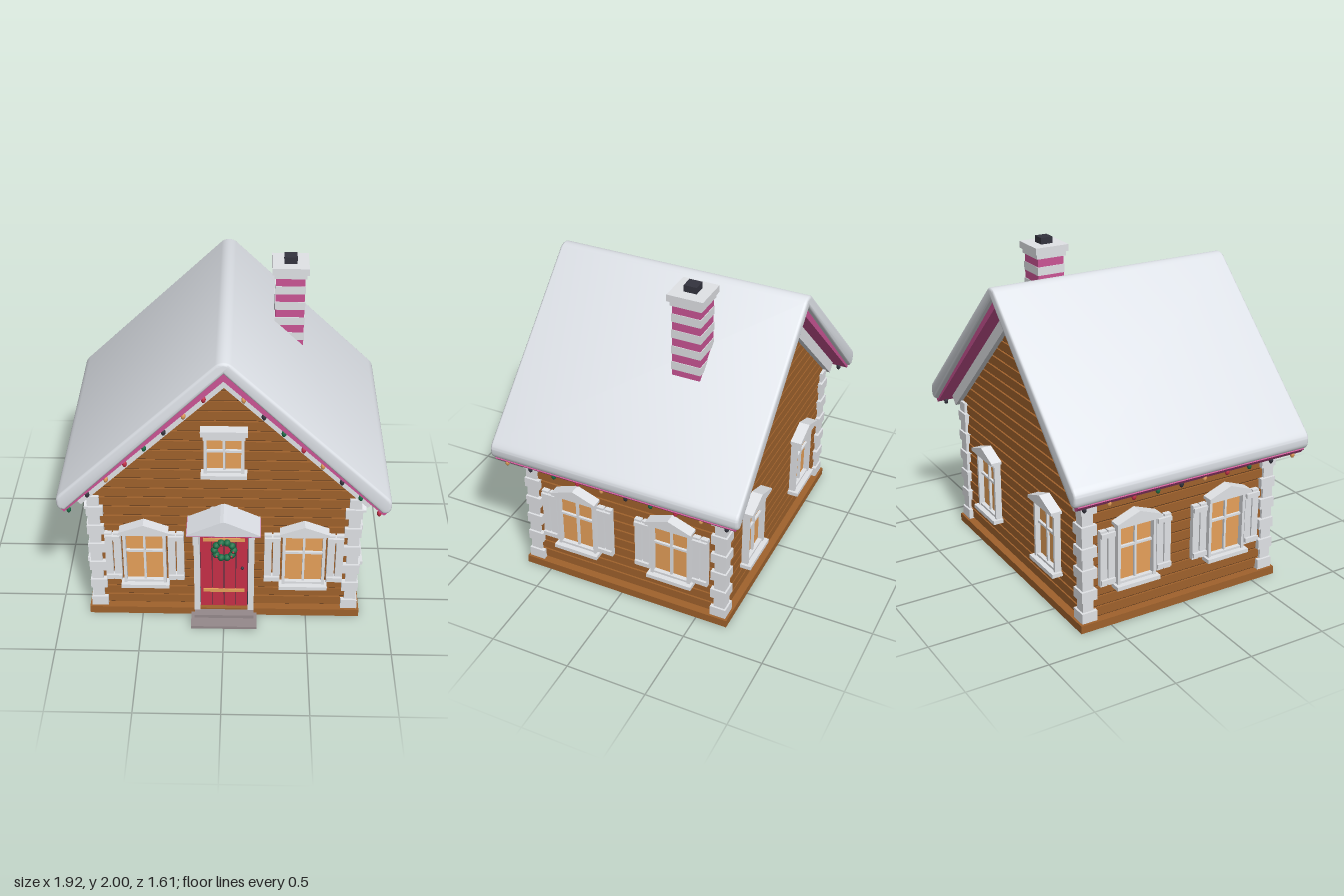
import * as THREE from 'three';
import { toCreasedNormals } from 'three/addons/utils/BufferGeometryUtils.js';

const mat = (name, color) => {
  const m = new THREE.MeshStandardMaterial({ color });
  m.name = name;
  return m;
};
const M = {
  wood: mat('brown wood', 0xa0622c),
  groove: mat('dark groove', 0x4a2e18),
  trim: mat('white trim', 0xe2e4e8),
  snow: mat('snow', 0xe4e8ee),
  pink: mat('magenta', 0xcc5596),
  red: mat('door red', 0xc83048),
  amber: mat('amber', 0xeca45c),
  dark: mat('charcoal', 0x34343f),
  green: mat('leaf green', 0x1c7048),
  stone: mat('step stone', 0x968a8c),
};
const SLOPE = 0.965, ZC = -0.016, HX = 0.785, HZ = 0.641;

function add(parent, name, geo, material, x = 0, y = 0, z = 0) {
  const m = new THREE.Mesh(geo, material);
  m.name = name;
  m.position.set(x, y, z);
  parent.add(m);
  return m;
}
// Box given by its min and max on each axis
function box(parent, name, material, x0, x1, y0, y1, z0, z1) {
  return add(parent, name, new THREE.BoxGeometry(x1 - x0, y1 - y0, z1 - z0), material,
    (x0 + x1) / 2, (y0 + y1) / 2, (z0 + z1) / 2);
}
// Straight extrusion of an outline along z
function prism(parent, name, material, points, z0, z1) {
  const shape = new THREE.Shape(points.map(p => new THREE.Vector2(p[0], p[1])));
  const geo = new THREE.ExtrudeGeometry(shape, { depth: z1 - z0, bevelEnabled: false });
  return add(parent, name, geo, material, 0, 0, z0);
}
// Inverted V following the roof pitch, with square-cut ends
function chevron(parent, name, material, top, thick, xe, z0, z1) {
  const k = thick / (1 + SLOPE * SLOPE), ye = top - SLOPE * xe;
  prism(parent, name, material, [[0, top], [-xe, ye], [-xe + k * SLOPE, ye - k], [0, top - thick],
    [xe - k * SLOPE, ye - k], [xe, ye]], z0, z1);
}

// Window facing +z, standing on the wall plane z = 0
function makeWindow(name, { hw = 0.11, y0 = 0.25, y1 = 0.61, bar = 0.477, gable = true, shutters = false }) {
  const g = new THREE.Group();
  g.name = name;
  const f = 0.018;
  box(g, 'glass', M.amber, -hw, hw, y0, y1, 0, 0.008);
  box(g, 'verticalBar', M.trim, -0.007, 0.007, y0, y1, 0.005, 0.024);
  box(g, 'crossBar', M.trim, -hw, hw, bar - 0.007, bar + 0.007, 0.005, 0.024);
  for (const s of [-1, 1]) {
    box(g, 'jamb', M.trim, s * (hw + f / 2) - f / 2, s * (hw + f / 2) + f / 2, y0, y1, 0, 0.042);
    if (!shutters) continue;
    const shutter = new THREE.Group();
    shutter.name = 'shutter';
    shutter.position.x = s * 0.188;
    g.add(shutter);
    for (const t of [-1, 1])
      box(shutter, 'slat', M.trim, t * 0.026 - 0.022, t * 0.026 + 0.022, 0.26, 0.612, 0, 0.03);
    for (const y of [0.29, 0.585])
      box(shutter, 'batten', M.trim, -0.046, 0.046, y - 0.014, y + 0.014, 0, 0.045);
  }
  box(g, 'sill', M.trim, -hw - 0.035, hw + 0.035, y0 - 0.025, y0, 0, 0.068);
  box(g, 'bottomRail', M.trim, -hw, hw, y0, y0 + 0.014, 0, 0.035);
  box(g, 'head', M.trim, -hw - 0.022, hw + 0.022, y1, y1 + 0.03, 0, 0.05);
  const w = hw + 0.036, b = y1 + 0.02;
  if (gable) prism(g, 'pediment', M.trim, [[-w, b], [w, b], [w, b + 0.018], [0, b + 0.073], [-w, b + 0.018]], 0, 0.07);
  else box(g, 'cap', M.trim, -w, w, b + 0.01, b + 0.045, 0, 0.065);
  return g;
}

export function createModel() {
  const house = new THREE.Group();
  house.name = 'house';
  const zF = ZC + HZ, zB = ZC - HZ;

  // Walls: dark core showing between stacked boards
  box(house, 'base', M.wood, -0.825, 0.825, 0, 0.05, zB - 0.04, zF + 0.04);
  const cx = HX - 0.012;
  prism(house, 'wallCore', M.groove, [[-cx, 0.04], [cx, 0.04], [cx, 1.72 - SLOPE * cx], [0, 1.72],
    [-cx, 1.72 - SLOPE * cx]], zB + 0.012, zF - 0.012);
  const pitch = 0.067;
  for (let y = 0.05; y < 1.62; y += pitch) {
    const hw = Math.min(HX, (1.725 - y - pitch) / SLOPE);
    box(house, 'wallBoard', M.wood, -hw, hw, y + 0.011, y + pitch, zB, zF);
  }

  // Corner blocks, alternating long and short
  for (const sx of [-1, 1]) for (const sz of [-1, 1]) for (let i = 0; i < 12; i++) {
    const out = i % 2 ? 0.018 : 0.027, w = i % 2 ? 0.07 : 0.1, h = 0.0685;
    add(house, 'cornerBlock', new THREE.BoxGeometry(w, h - 0.004, w), M.trim,
      sx * (HX + out - w / 2), 0.05 + h * (i + 0.5), ZC + sz * (HZ + out - w / 2));
  }

  // Roof: gable trim, deck and rounded snow layer
  chevron(house, 'frontGableTrim', M.trim, 1.735, 0.1, 0.885, zF - 0.01, zF + 0.035);
  chevron(house, 'backGableTrim', M.trim, 1.735, 0.1, 0.885, zB - 0.035, zB + 0.01);
  chevron(house, 'roofDeck', M.pink, 1.79, 0.06, 0.95, -0.78, 0.75);
  const s = new THREE.Shape();
  s.moveTo(0, 1.785);
  s.lineTo(0.91, 0.872);
  s.quadraticCurveTo(0.955, 0.865, 0.96, 0.91);
  s.lineTo(0.96, 0.935);
  s.quadraticCurveTo(0.962, 0.955, 0.93, 0.985);
  s.lineTo(0.045, 1.838);
  s.quadraticCurveTo(0, 1.87, -0.045, 1.838);
  s.lineTo(-0.93, 0.985);
  s.quadraticCurveTo(-0.962, 0.955, -0.96, 0.935);
  s.lineTo(-0.96, 0.91);
  s.quadraticCurveTo(-0.955, 0.865, -0.91, 0.872);
  s.closePath();
  const b = 0.016;
  const snow = new THREE.ExtrudeGeometry(s, { depth: 1.58 - 2 * b, bevelEnabled: true, bevelSize: b,
    bevelThickness: b, bevelOffset: -b, bevelSegments: 3, curveSegments: 6 });
  add(house, 'snowRoof', toCreasedNormals(snow, 0.6), M.snow, 0, 0, -0.805 + b);

  // Light bulbs along the front rakes and the eaves
  const bulbGeo = new THREE.SphereGeometry(0.014, 8, 6).scale(1, 1.5, 1);
  const bulbMats = [M.amber, M.dark, M.green, M.red];
  for (const sx of [-1, 1]) {
    for (let i = 0; i < 8; i++) {
      const x = 0.11 + i * 0.112;
      add(house, 'rakeBulb', bulbGeo, bulbMats[(i + (sx > 0 ? 0 : 3)) % 4], sx * x, 1.715 - SLOPE * x, 0.74);
    }
    for (let i = 0; i < 10; i++)
      add(house, 'eaveBulb', bulbGeo, bulbMats[i % 4], sx * 0.915, 0.838, 0.69 - i * 0.157);
  }

  // Chimney with striped stack
  const chimney = new THREE.Group();
  chimney.name = 'chimney';
  chimney.position.set(0.377, 0, -0.26);
  house.add(chimney);
  const block = (name, m, w, y0, y1) => box(chimney, name, m, -w / 2, w / 2, y0, y1, -w / 2, w / 2);
  block('stack', M.pink, 0.174, 1.3, 1.89);
  for (let i = 0; i < 5; i++) block('stripe', M.trim, 0.182, 1.784 - i * 0.1035, 1.836 - i * 0.1035);
  block('lowerCap', M.trim, 0.195, 1.888, 1.92);
  block('upperCap', M.trim, 0.22, 1.918, 1.96);
  block('flue', M.dark, 0.078, 1.95, 2);

  // Windows on all four walls
  const place = (g, x, z, ry) => {
    g.position.set(x, 0, z);
    g.rotation.y = ry;
    house.add(g);
  };
  for (const k of [-1, 1]) {
    place(makeWindow('frontWindow', { shutters: true }), k * 0.476, zF, 0);
    place(makeWindow('backWindow', {}), k * 0.39, zB, Math.PI);
    for (const sx of [-1, 1])
      place(makeWindow('sideWindow', { shutters: true }), sx * HX, ZC + k * 0.313, sx * Math.PI / 2);
  }
  place(makeWindow('atticWindow', { hw: 0.098, y0: 1.065, y1: 1.297, bar: 1.205, gable: false }), 0, zF, 0);

  // Door with planks, straps, knob and wreath
  const door = new THREE.Group();
  door.name = 'door';
  door.position.z = zF;
  house.add(door);
  box(door, 'doorBack', M.dark, -0.145, 0.145, 0.05, 0.675, 0, 0.008);
  for (let i = 0; i < 4; i++)
    box(door, 'doorPlank', M.red, -0.143 + i * 0.072, -0.075 + i * 0.072, 0.055, 0.67, 0, 0.02);
  for (const y of [0.18, 0.57]) box(door, 'strap', M.amber, -0.125, 0.125, y - 0.011, y + 0.011, 0.015, 0.028);
  add(door, 'knob', new THREE.SphereGeometry(0.01, 10, 8), M.dark, 0.11, 0.36, 0.03);
  for (let i = 0; i < 10; i++) {
    const a = i / 10 * Math.PI * 2, c = Math.cos(a), n = Math.sin(a);
    add(door, 'wreathLeaf', new THREE.IcosahedronGeometry(0.022, 1), M.green, 0.058 * c, 0.503 + 0.058 * n, 0.038);
    if (i % 3 === 0) add(door, 'berry', new THREE.SphereGeometry(0.007, 6, 5), M.red, 0.055 * c, 0.503 + 0.055 * n, 0.058);
  }
  for (const k of [-1, 1]) {
    box(door, 'doorPost', M.trim, k * 0.163 - 0.018, k * 0.163 + 0.018, 0.04, 0.69, 0, 0.045);
    box(door, 'bracket', M.trim, k * 0.163 - 0.018, k * 0.163 + 0.018, 0.63, 0.71, 0, 0.155);
  }
  box(door, 'doorLintel', M.trim, -0.186, 0.186, 0.672, 0.71, 0, 0.06);

  // Canopy and steps
  box(house, 'canopyBoard', M.pink, -0.218, 0.218, 0.708, 0.718, zF, 0.8);
  prism(house, 'canopy', M.snow, [[-0.215, 0.717], [0.215, 0.717], [0.215, 0.724], [0.02, 0.815], [0, 0.82],
    [-0.02, 0.815], [-0.215, 0.724]], zF - 0.01, 0.806);
  box(house, 'lowerStep', M.stone, -0.2, 0.2, 0, 0.018, zF, 0.797);
  box(house, 'upperStep', M.stone, -0.18, 0.18, 0.016, 0.04, zF, 0.72);
  return house;
}
